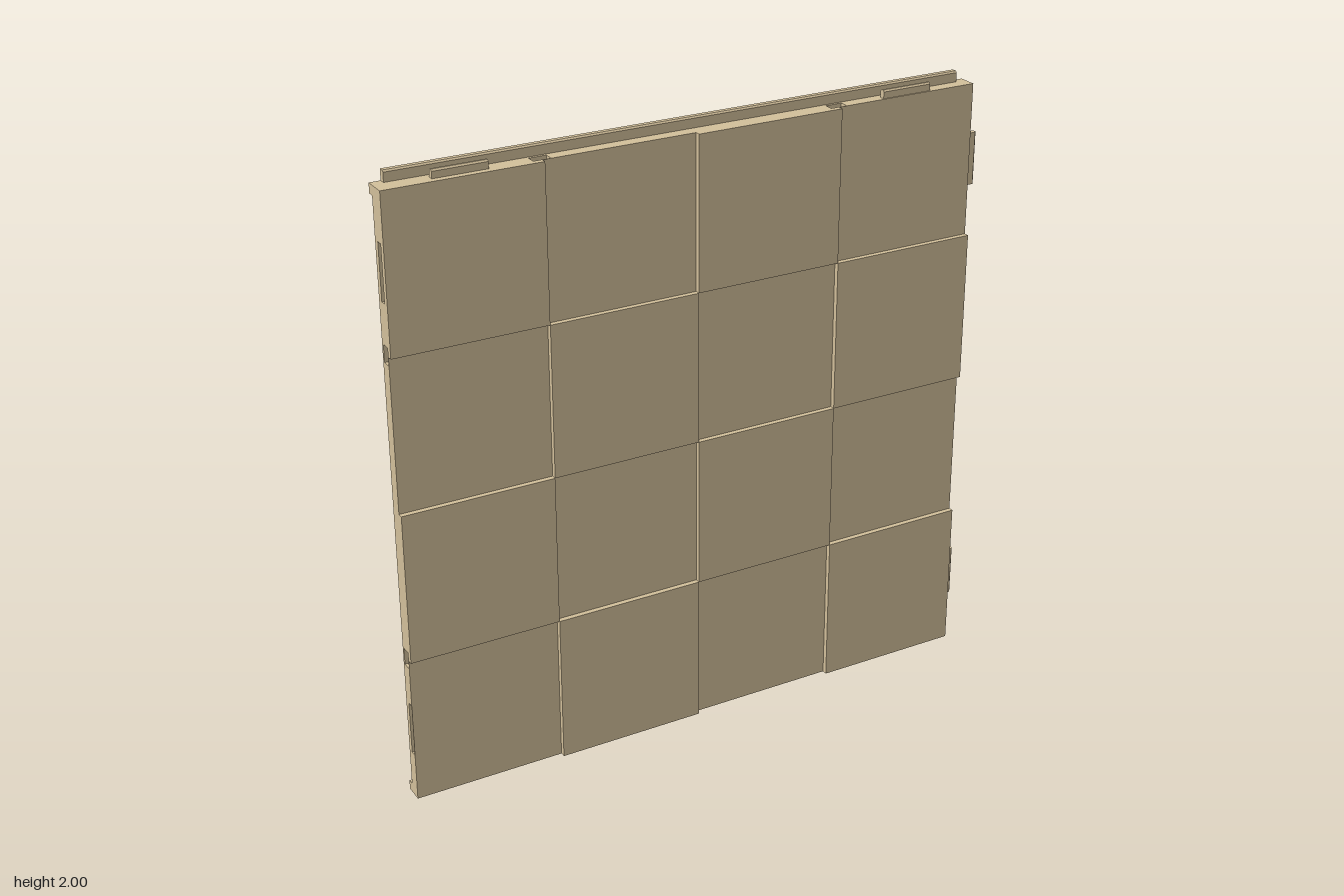
import * as THREE from 'three';

const W = 1.966;            // side of the square slab
const P = 0.034;            // rail projection
const TILES = 4;
const TILE = W / TILES;
const Z = { back: -0.039, rail: -0.019, pocket: -0.01, tab: 0, slot: 0.02, recess: 0.022, front: 0.039 };
const TABS = [[0.16, 0.33], [W - 0.33, W - 0.16]];
const QUARTERS = [W / 4, W * 3 / 4];

const material = new THREE.MeshStandardMaterial({ color: 0xd2bf9a });

function add(parent, geometry, name) {
  const mesh = new THREE.Mesh(geometry, material);
  mesh.name = name;
  parent.add(mesh);
  return mesh;
}

// Square outline with rectangular notches [start, end, depth], measured from the lower left corner
function notchedSquare({ bottom = [], right = [], top = [], left = [] }) {
  const points = [];
  const side = (notches, reverse, map) => {
    const path = [[0, 0]];
    for (const [a, b, d] of [...notches].sort((m, n) => m[0] - n[0])) {
      path.push([a, 0], [a, d], [b, d], [b, 0]);
    }
    path.push([W, 0]);
    if (reverse) path.reverse();
    path.pop();
    for (const [s, d] of path) points.push(new THREE.Vector2(...map(s, d)));
  };
  side(bottom, false, (s, d) => [s, d]);
  side(right, false, (s, d) => [W - d, s]);
  side(top, true, (s, d) => [s, W - d]);
  side(left, true, (s, d) => [d, s]);
  return new THREE.Shape(points);
}

// One slab layer between two depths
function layer(parent, name, notches, z0, z1, drilled = false) {
  const shape = notchedSquare(notches);
  if (drilled) {
    for (const q of QUARTERS) {
      for (const e of [0.115, W - 0.115]) {
        for (const [x, y] of [[q, e], [e, q]]) {
          shape.holes.push(new THREE.Path().absarc(x, y, 0.014, 0, Math.PI * 2, true));
        }
      }
    }
  }
  const geometry = new THREE.ExtrudeGeometry(shape, { depth: z1 - z0, bevelEnabled: false, curveSegments: 8 });
  geometry.translate(-1, 0, z0);
  add(parent, geometry, name);
}

// Bar with a constant profile (outward, z), running along the top or left edge
function edgeBar(parent, name, profile, start, end, onTop) {
  const shape = new THREE.Shape(profile.map(([u, z]) => new THREE.Vector2(u, z)));
  const geometry = new THREE.ExtrudeGeometry(shape, { depth: end - start, bevelEnabled: false });
  const X = new THREE.Vector3(1, 0, 0), Y = new THREE.Vector3(0, 1, 0), D = new THREE.Vector3(0, 0, 1);
  const basis = new THREE.Matrix4();
  if (onTop) basis.makeBasis(Y, D, X).setPosition(-1 + start, W, 0);
  else basis.makeBasis(X, D, Y.clone().negate()).setPosition(-1 + W, end, 0);
  geometry.applyMatrix4(basis);
  add(parent, geometry, name);
}

export function createModel() {
  const model = new THREE.Group();
  model.name = 'checkeredPanel';

  // Slab: back with rabbets, then web, side pockets and tab slots, then front skin
  const slab = new THREE.Group();
  slab.name = 'slab';
  model.add(slab);
  const rabbet = [[0.031, W - 0.031, P + 0.001]];
  const pockets = QUARTERS.map(q => [q - 0.0275, q + 0.0275, 0.13]);
  const slots = TABS.map(([a, b]) => [a - 0.003, b + 0.003, 0.03]);
  const all = { bottom: pockets, right: pockets, top: pockets, left: pockets };
  layer(slab, 'backLayer', { bottom: rabbet, left: rabbet }, Z.back, Z.rail, true);
  layer(slab, 'webLayer', {}, Z.rail, Z.pocket, true);
  layer(slab, 'pocketLayer', all, Z.pocket, Z.tab);
  layer(slab, 'slotLayer', { ...all, bottom: [...pockets, ...slots], left: [...pockets, ...slots] }, Z.tab, Z.slot);
  layer(slab, 'frontSkin', {}, Z.slot, Z.recess);

  // Raised squares in a checker pattern, starting at the upper right corner
  const tiles = new THREE.Group();
  tiles.name = 'raisedTiles';
  model.add(tiles);
  for (let row = 0; row < TILES; row++) {
    for (let col = 0; col < TILES; col++) {
      if ((row + col) % 2) continue;
      const tile = add(tiles, new THREE.BoxGeometry(TILE, TILE, Z.front - Z.recess), 'raisedTile');
      tile.position.set(-1 + (col + 0.5) * TILE, W - (row + 0.5) * TILE, (Z.front + Z.recess) / 2);
    }
  }

  // Chamfered rails and locating tabs on two edges
  const c = 0.005;
  const railProfile = [[0, Z.back], [P, Z.back], [P, Z.rail - c], [P - c, Z.rail], [0, Z.rail]];
  const h = 0.026, t0 = 0.001, t1 = 0.018;
  const tabProfile = [[0, t0], [h - c, t0], [h, t0 + c], [h, t1 - c], [h - c, t1], [0, t1]];
  for (const onTop of [true, false]) {
    const edge = onTop ? 'top' : 'left';
    edgeBar(model, edge + 'Rail', railProfile, 0.035, W - 0.035, onTop);
    for (const [a, b] of TABS) edgeBar(model, edge + 'Tab', tabProfile, a, b, onTop);
  }
  return model;
}
